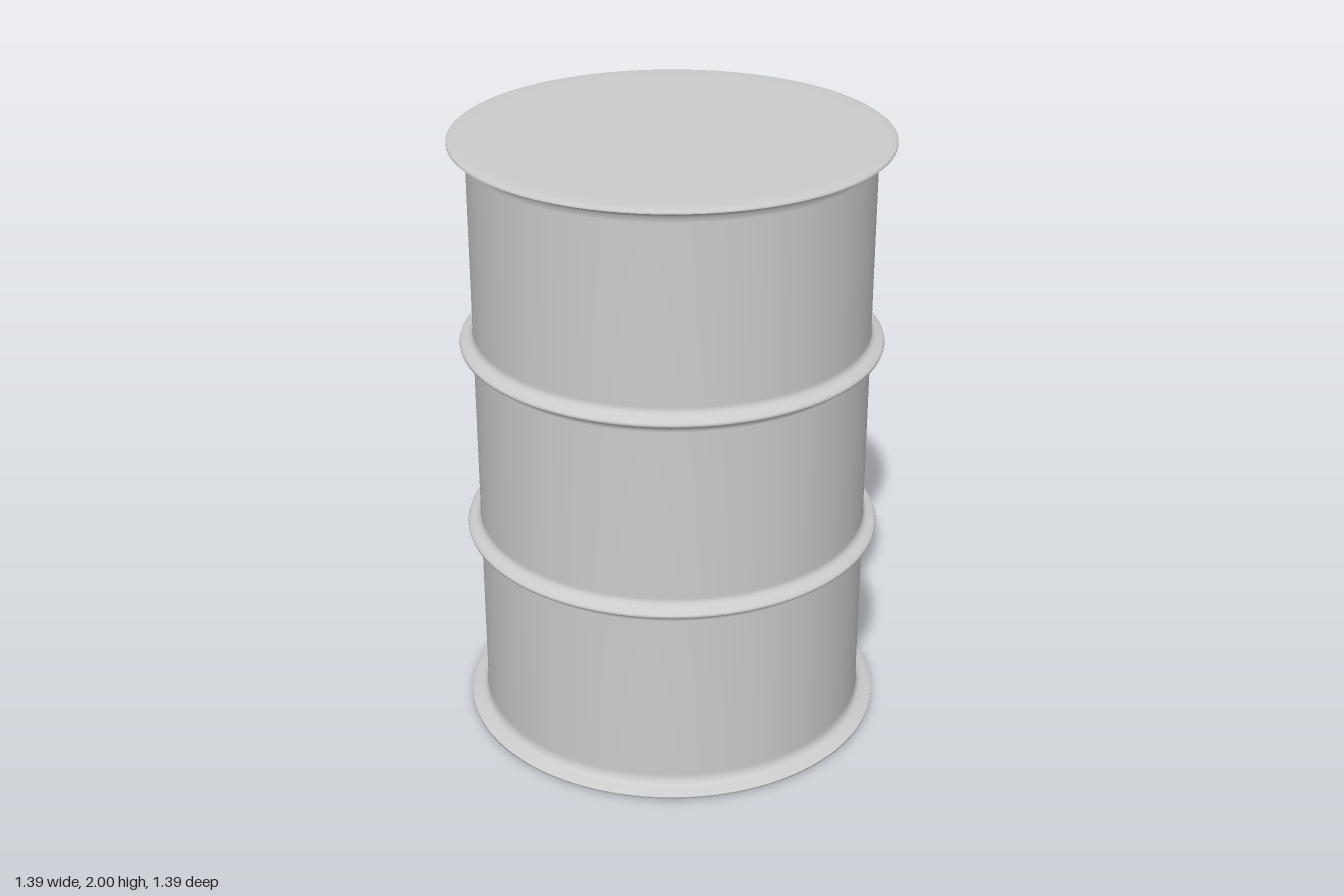
import * as THREE from 'three';

const SEGMENTS = 96;
const BODY_R = 0.637;
const RIM_R = 0.693;
const HEIGHT = 2;

export function createModel() {
  const drum = new THREE.Group();
  drum.name = 'drum';
  const material = new THREE.MeshStandardMaterial({ color: 0xcccccc });

  const addLathe = (name, profile) => {
    const points = profile.map(([r, y]) => new THREE.Vector2(r, y));
    const mesh = new THREE.Mesh(new THREE.LatheGeometry(points, SEGMENTS), material);
    mesh.name = name;
    drum.add(mesh);
  };

  // Rolling hoop: a thin ridge with a soft fillet into the wall
  const hoop = (y) => [
    [BODY_R, y - 0.04], [BODY_R + 0.003, y - 0.026], [BODY_R + 0.014, y - 0.018],
    [0.669, y - 0.012], [0.678, y - 0.006], [0.68, y],
    [0.678, y + 0.006], [0.669, y + 0.012], [BODY_R + 0.014, y + 0.018],
    [BODY_R + 0.003, y + 0.026], [BODY_R, y + 0.04],
  ];

  // Flared end, from the wall out to the rim, as distances from the drum's end
  const flare = [
    [BODY_R, 0.06], [BODY_R + 0.003, 0.042], [BODY_R + 0.012, 0.031],
    [0.668, 0.024], [0.685, 0.019], [RIM_R, 0.014],
  ];

  // Wall with two hoops and a flare at each end
  addLathe('drumWall', [
    ...[...flare].reverse(),
    ...hoop(0.675),
    ...hoop(1.325),
    ...flare.map(([r, d]) => [r, HEIGHT - d]),
  ]);

  // Closed ends with a slightly rounded edge
  const lid = [[RIM_R, 0.014], [RIM_R, 0.009], [0.688, 0.005], [0.67, 0.002], [0.62, 0], [0, 0]];
  addLathe('topLid', lid.map(([r, d]) => [r, HEIGHT - d]));
  addLathe('bottomLid', [...lid].reverse());

  return drum;
}
